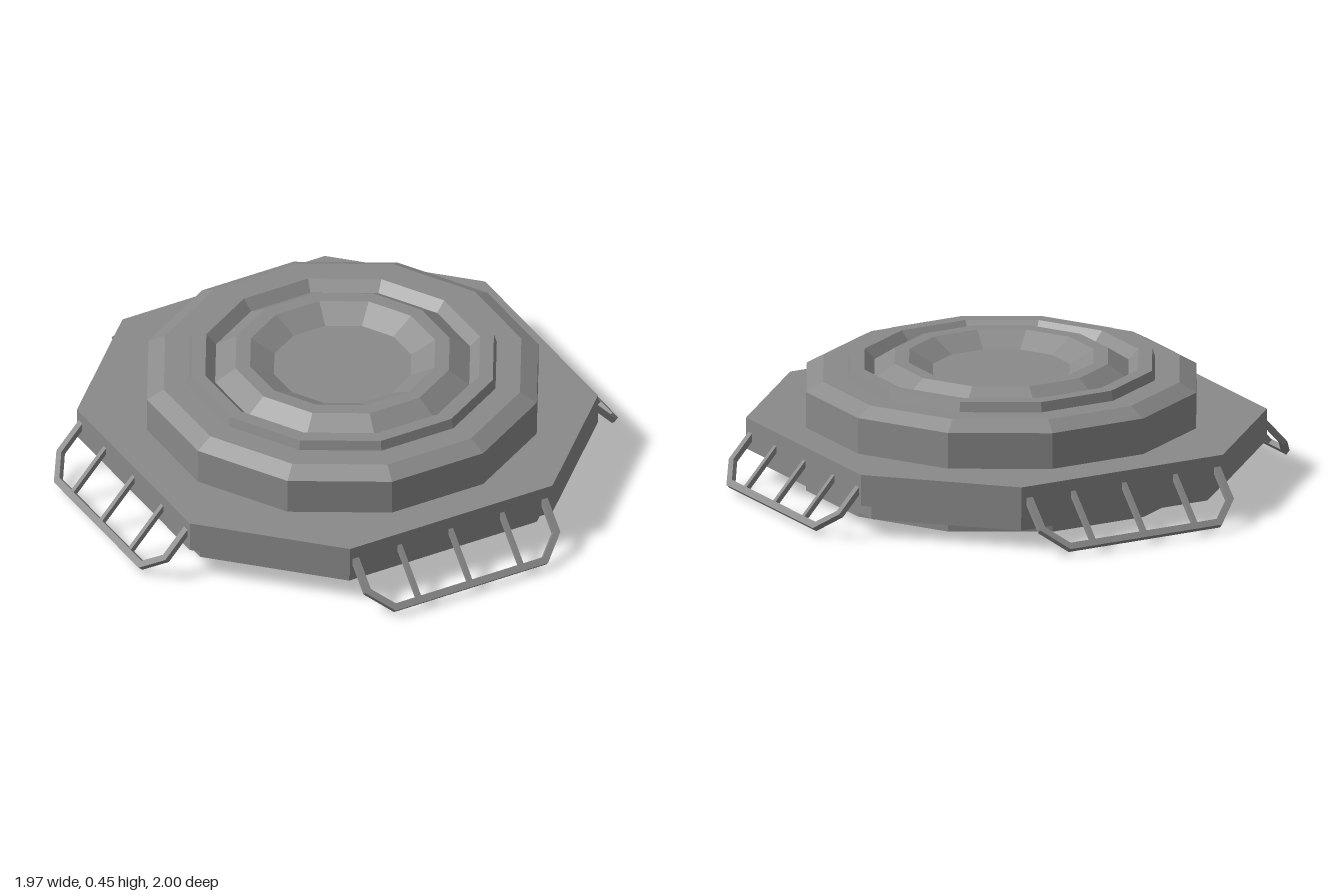
import * as THREE from 'three';

const grey = new THREE.MeshStandardMaterial({ color: 0x8a8a8a, flatShading: true });
grey.name = 'hull grey';
const paleGrey = new THREE.MeshStandardMaterial({ color: 0xa4a4a4, flatShading: true });
paleGrey.name = 'underside pale grey';

const SIDES = 12;
const CX = 0.021, CZ = 0.011; // the dish sits slightly off centre

function add(parent, name, geometry, material = grey) {
  const mesh = new THREE.Mesh(geometry, material);
  mesh.name = name;
  parent.add(mesh);
  return mesh;
}

// Twelve-sided turned form; radii are measured to the middle of each flat side
function turned(profile) {
  const k = 1 / Math.cos(Math.PI / SIDES);
  const points = profile.map(([r, y]) => new THREE.Vector2(r * k, y));
  return new THREE.LatheGeometry(points, SIDES, Math.PI / SIDES);
}

const toVectors = (points) => points.map(([x, y]) => new THREE.Vector2(x, y));

// Square with cut corners: a = half width, b = half length of the straight edge
const octagon = (a, b) => toVectors(
  [[a, -b], [a, b], [b, a], [-b, a], [-a, b], [-a, -b], [-b, -a], [b, -a]]);

// Level slab from y0 to y1, with an optional opening through it
function slab(outline, y0, y1, opening) {
  const shape = new THREE.Shape(outline);
  if (opening) shape.holes.push(new THREE.Path(opening));
  const geometry = new THREE.ExtrudeGeometry(shape, { depth: y1 - y0, bevelEnabled: false });
  return geometry.rotateX(-Math.PI / 2).translate(0, y0, 0);
}

// Flat rack hung from one edge of the deck, reaching out and down by the given amounts
function rack(out, down) {
  const group = new THREE.Group();
  group.name = 'rack';
  const length = Math.hypot(out, down);
  const knee = length * 0.58, w = 0.026, t = 0.02, root = -0.015;

  const frame = new THREE.Shape(toVectors([
    [-0.4, root], [-0.4 + w, root], [-0.4 + w, knee - 0.008], [-0.302, length - w],
    [0.302, length - w], [0.4 - w, knee - 0.008], [0.4 - w, root], [0.4, root],
    [0.4, knee], [0.312, length], [-0.312, length], [-0.4, knee],
  ]));
  add(group, 'rackFrame', new THREE.ExtrudeGeometry(frame, { depth: t, bevelEnabled: false }))
    .position.z = -t / 2;

  for (const x of [-0.207, 0.003, 0.213]) {
    const barLength = length - w / 2 - root;
    add(group, 'rackBar', new THREE.BoxGeometry(0.018, barLength, 0.018))
      .position.set(x, root + barLength / 2, 0);
  }
  group.rotation.x = Math.atan2(out, -down);
  group.position.set(0, 0.181, 0.833);
  return group;
}

export function createModel() {
  const model = new THREE.Group();
  model.name = 'steppedDishBase';

  // Stepped dish: base, wall, shoulder, step, groove, rim and shallow bowl
  add(model, 'steppedDish', turned([
    [0.375, 0], [0.698, 0], [0.698, 0.368], [0.638, 0.402], [0.55, 0.402], [0.54, 0.437],
    [0.49, 0.437], [0.455, 0.4], [0.382, 0.449], [0.33, 0.449], [0.245, 0.4], [0, 0.4],
  ])).position.set(CX, 0, CZ);

  // Flat disc in the middle of the underside
  add(model, 'undersideDisc', turned([[0, 0], [0.375, 0]]), paleGrey).position.set(CX, 0, CZ);

  // Deck, and the open skirt below it
  add(model, 'deck', slab(octagon(0.837, 0.415), 0.12, 0.235)).position.set(0.005, 0, 0.002);
  add(model, 'skirt', slab(octagon(0.777, 0.385), 0.053, 0.12, octagon(0.771, 0.3825)))
    .position.set(0.004, 0, 0.002);

  // One rack on each side
  for (let i = 0; i < 4; i++) {
    const holder = new THREE.Group();
    holder.name = 'rackHolder';
    holder.add(rack(i % 2 ? 0.143 : 0.16, 0.157));
    holder.rotation.y = i * Math.PI / 2;
    model.add(holder);
  }
  return model;
}
